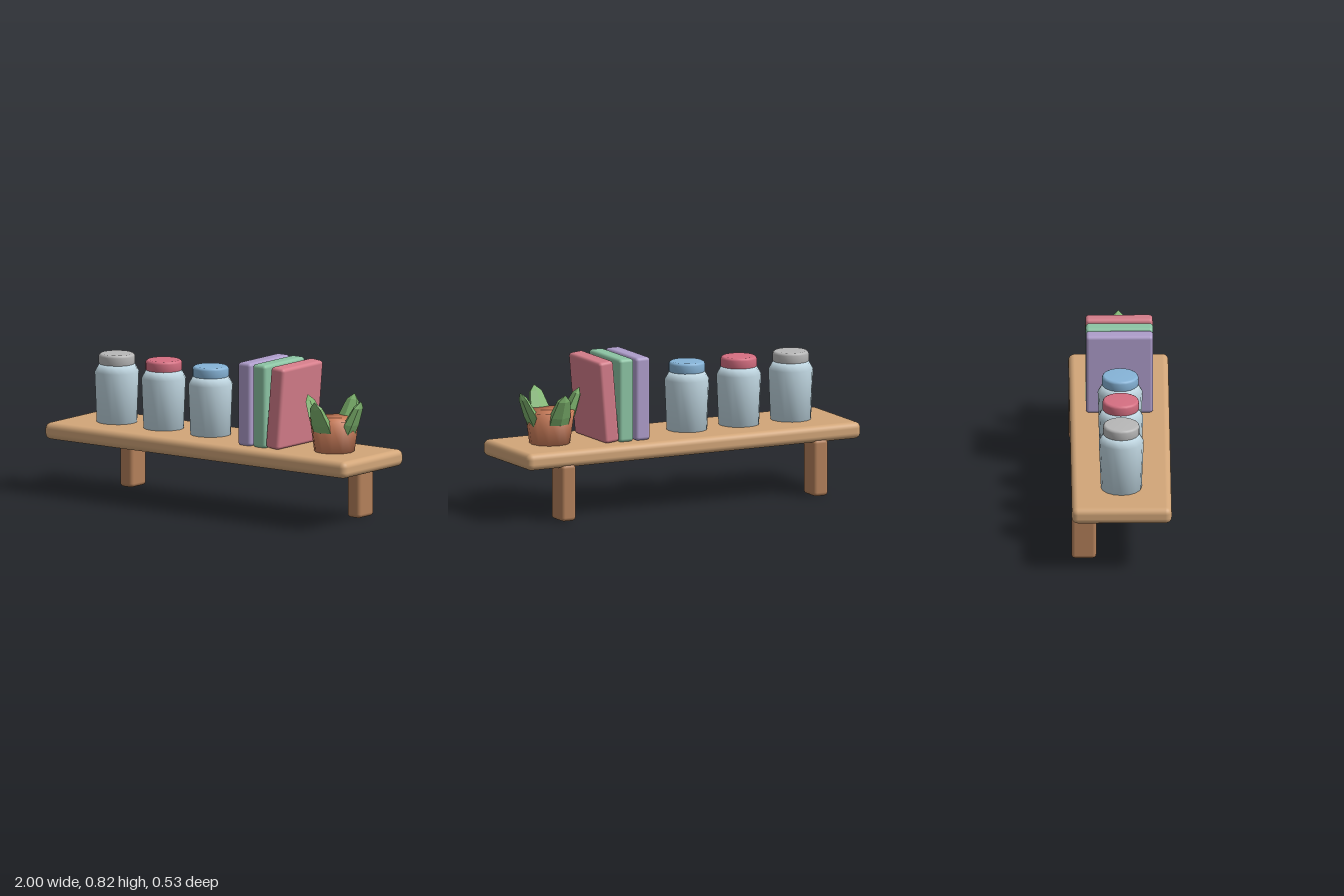
import * as THREE from 'three';
import { RoundedBoxGeometry } from 'three/addons/geometries/RoundedBoxGeometry.js';

const SHELF_TOP = 0.38;

function add(parent, name, geometry, color, x = 0, y = 0, z = 0, flat = false) {
  const mesh = new THREE.Mesh(geometry, new THREE.MeshStandardMaterial({ color, flatShading: flat }));
  mesh.name = name;
  mesh.position.set(x, y, z);
  parent.add(mesh);
  return mesh;
}

// Smooth turned shape from [radius, height] pairs, listed bottom to top
const turned = (points, sides) =>
  new THREE.LatheGeometry(points.map(([r, y]) => new THREE.Vector2(r, y)), sides);

function makeJar(lidColor) {
  const jar = new THREE.Group();
  jar.name = 'jar';
  add(jar, 'jarBody', turned([[0, 0], [0.108, 0], [0.119, 0.27], [0.095, 0.312], [0, 0.312]], 16), 0xc4dbe6);
  add(jar, 'jarLid', turned([
    [0, 0.305], [0.088, 0.305], [0.097, 0.315], [0.097, 0.353], [0.093, 0.362], [0.084, 0.367], [0, 0.367],
  ], 20), lidColor);
  return jar;
}

function makePlant() {
  const plant = new THREE.Group();
  plant.name = 'pottedPlant';
  add(plant, 'pot', turned([[0, 0], [0.108, 0], [0.132, 0.175], [0, 0.175]], 12), 0xd0805c);

  // Four thick pointed leaves leaning outwards
  for (let i = 0; i < 4; i++) {
    const geometry = new THREE.SphereGeometry(1, 6, 5);
    if (i % 2 === 0) geometry.rotateY(Math.PI / 2);
    geometry.scale(0.068, 0.2, 0.03);
    const pivot = new THREE.Group();
    pivot.name = 'leafPivot';
    pivot.rotation.y = i * Math.PI / 2;
    const leaf = add(pivot, 'leaf', geometry, 0x7fb56f, 0, 0.105, 0.089, true);
    leaf.rotation.x = 0.46;
    plant.add(pivot);
  }
  return plant;
}

export function createModel() {
  const model = new THREE.Group();
  model.name = 'wallShelf';

  add(model, 'shelfBoard', new RoundedBoxGeometry(2, 0.09, 0.53, 3, 0.033), 0xd2a679, 0, 0.335, 0);

  // Supports under the back edge
  for (const side of [-1, 1]) {
    add(model, 'bracket', new RoundedBoxGeometry(0.087, 0.305, 0.132, 3, 0.02), 0xb3805a, side * 0.755, 0.1535, -0.199);
  }

  // Row of jars
  [0xb8b8b8, 0xd66f82, 0x86b4d8].forEach((color, i) => {
    const jar = makeJar(color);
    jar.position.set(-0.711 + i * 0.311, SHELF_TOP, 0);
    model.add(jar);
  });

  // Books, the last one leaning
  [[0.265, 0, 0xae9dcb, 0.446], [0.364, 0, 0x8cc4a4, 0.446], [0.468, -0.087, 0xd67e8b, 0.44]].forEach(([x, tilt, color, height]) => {
    const book = add(model, 'book', new RoundedBoxGeometry(0.087, height, 0.356, 3, 0.018), color, x, 0.602, 0);
    book.rotation.z = tilt;
  });

  const plant = makePlant();
  plant.position.set(0.733, SHELF_TOP, 0);
  model.add(plant);

  return model;
}
